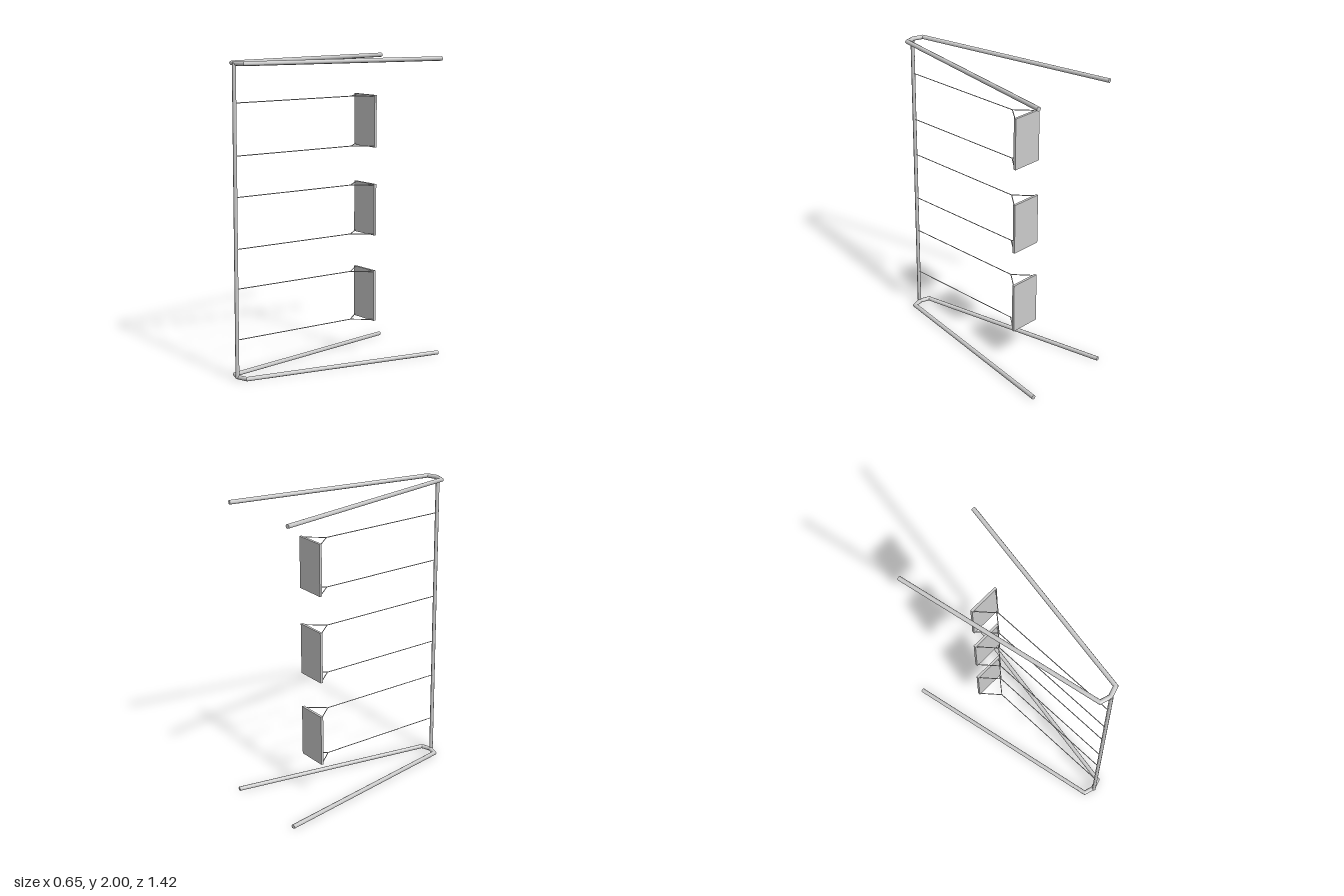
import * as THREE from 'three';
import { toCreasedNormals } from 'three/addons/utils/BufferGeometryUtils.js';

const material = new THREE.MeshStandardMaterial({ color: 0xcccccc });

function addMesh(parent, name, geometry) {
  const mesh = new THREE.Mesh(geometry, material);
  mesh.name = name;
  parent.add(mesh);
  return mesh;
}

// Straight rod between two points
function addRod(parent, name, a, b, radius, sides) {
  const dir = b.clone().sub(a);
  const rod = addMesh(parent, name, new THREE.CylinderGeometry(radius, radius, dir.length(), sides));
  rod.position.copy(a).add(b).multiplyScalar(0.5);
  rod.quaternion.setFromUnitVectors(new THREE.Vector3(0, 1, 0), dir.normalize());
}

// Tube with mitred corners along a flat [x, z] path, closed at both ends
function mitredTube(path, radius, sides) {
  const pts = path.map(([x, z]) => new THREE.Vector2(x, z));
  const last = pts.length - 1;
  const positions = [], indices = [];
  pts.forEach((p, i) => {
    const before = pts[Math.max(i, 1)].clone().sub(pts[Math.max(i, 1) - 1]).normalize();
    const j = Math.min(i, last - 1);
    const after = pts[j + 1].clone().sub(pts[j]).normalize();
    const tangent = before.clone().add(after).normalize();
    const stretch = radius / tangent.dot(after);
    for (let k = 0; k < sides; k++) {
      const a = (k / sides) * Math.PI * 2;
      const s = Math.cos(a) * stretch;
      positions.push(p.x + tangent.y * s, Math.sin(a) * radius, p.y - tangent.x * s);
    }
  });
  for (let i = 0; i < last; i++) {
    for (let k = 0; k < sides; k++) {
      const a = i * sides + k, b = i * sides + (k + 1) % sides;
      indices.push(a, b, a + sides, b, b + sides, a + sides);
    }
  }
  for (let k = 1; k < sides - 1; k++) {
    indices.push(0, k + 1, k);
    indices.push(last * sides, last * sides + k, last * sides + k + 1);
  }
  const geometry = new THREE.BufferGeometry();
  geometry.setAttribute('position', new THREE.Float32BufferAttribute(positions, 3));
  geometry.setIndex(indices);
  return toCreasedNormals(geometry, 0.9);
}

export function createModel() {
  const model = new THREE.Group();
  model.name = 'panelRack';

  // V-shaped rails at the foot and the top
  const railPath = [[-0.313, -0.706], [-0.067, 0.667], [0, 0.688], [0.067, 0.667], [0.313, -0.706]];
  const railRadius = 0.0145;
  for (const [name, y] of [['bottomRail', railRadius], ['topRail', 2 - railRadius]]) {
    addMesh(model, name, mitredTube(railPath, railRadius, 8)).position.y = y;
  }

  // Upright pole joining the rail noses
  addRod(model, 'pole', new THREE.Vector3(0, 0.01, 0.695), new THREE.Vector3(0, 1.99, 0.695), 0.0125, 8);

  // Three panels, each hung from an upper and a lower forked wire
  for (const y of [0.42, 0.999, 1.582]) {
    const unit = new THREE.Group();
    unit.name = 'panelUnit';
    unit.position.y = y;
    model.add(unit);

    addMesh(unit, 'panel', new THREE.BoxGeometry(0.212, 0.341, 0.017)).position.z = -0.325;

    for (const side of [-1, 1]) {
      const h = side * 0.163;
      const fork = new THREE.Vector3(0, h, -0.203);
      addRod(unit, 'wire', new THREE.Vector3(0, h, 0.69), fork, 0.003, 6);
      for (const x of [-0.1, 0.1]) {
        addRod(unit, 'forkWire', fork, new THREE.Vector3(x, h, -0.322), 0.003, 6);
      }
    }
  }
  return model;
}
